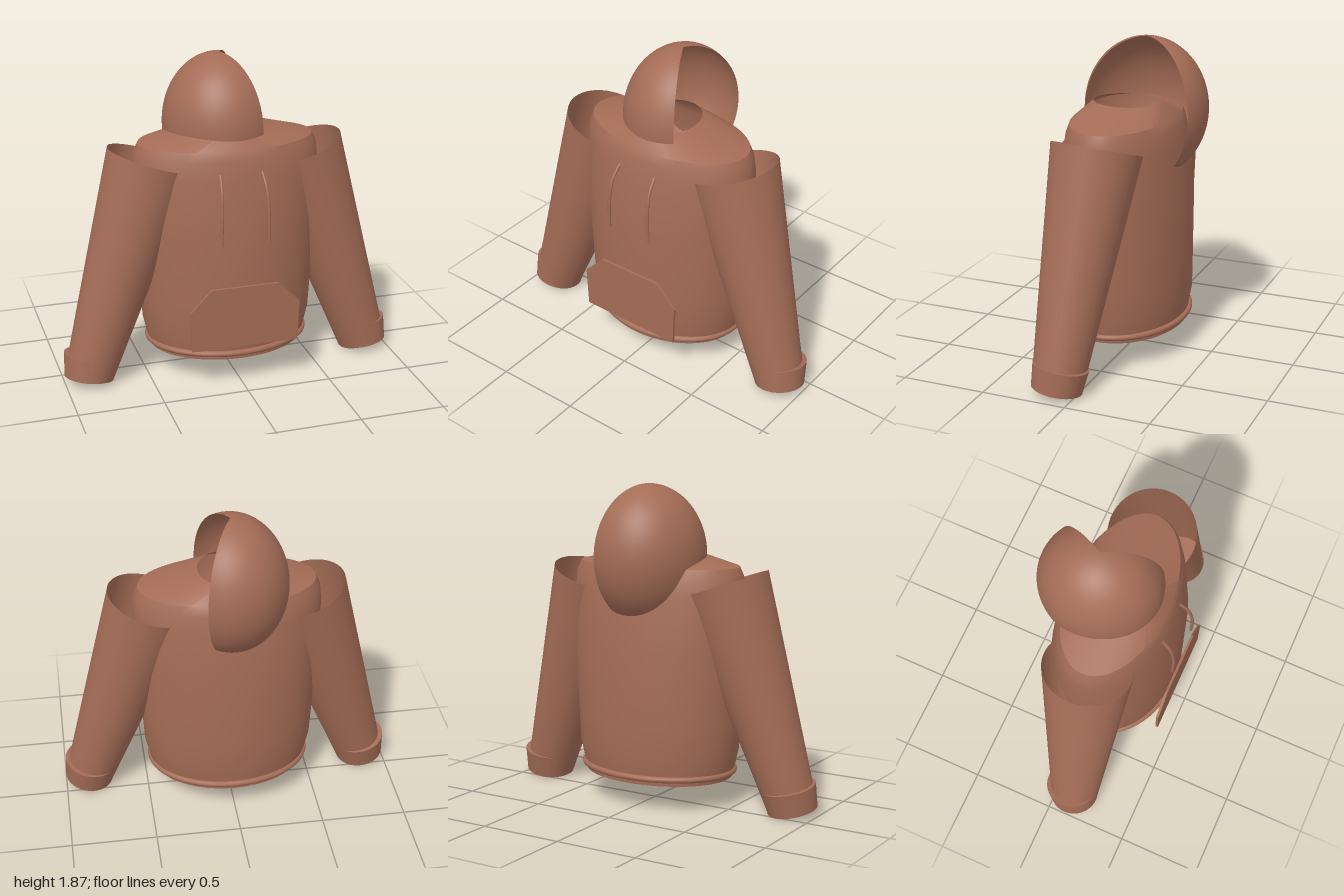
import * as THREE from 'three';
import { mergeVertices, toCreasedNormals } from 'three/addons/utils/BufferGeometryUtils.js';

const V = (x, y, z) => new THREE.Vector3(x, y, z);

// Open shell of oval rings, listed top to bottom as [halfWidth, halfDepth, y]
function ovalShell(rings, segments = 64) {
  let geo = new THREE.CylinderGeometry(1, 1, 1, segments, rings.length - 1, true);
  const pos = geo.attributes.position;
  for (let i = 0; i < pos.count; i++) {
    const [rx, rz, y] = rings[Math.floor(i / (segments + 1))];
    pos.setXYZ(i, pos.getX(i) * rx, y, pos.getZ(i) * rz);
  }
  geo.deleteAttribute('uv');
  geo.deleteAttribute('normal');
  geo = mergeVertices(geo);
  geo.computeVertexNormals();
  return toCreasedNormals(geo, 0.6);
}

// Tapered tube running from point a to point b
function taper(a, b, ra, rb, open) {
  const dir = a.clone().sub(b);
  const geo = new THREE.CylinderGeometry(ra, rb, dir.length(), 48, 1, open);
  geo.applyQuaternion(new THREE.Quaternion().setFromUnitVectors(V(0, 1, 0), dir.normalize()));
  const mid = a.clone().add(b).multiplyScalar(0.5);
  return geo.translate(mid.x, mid.y, mid.z);
}

export function createModel() {
  const group = new THREE.Group();
  const cloth = new THREE.MeshStandardMaterial({ color: 0xa46c56, side: THREE.DoubleSide });
  cloth.name = 'russet cloth';

  const add = (name, geo) => {
    const mesh = new THREE.Mesh(geo, cloth);
    mesh.name = name;
    group.add(mesh);
    return mesh;
  };

  // Torso with sloping shoulders and an open neck
  add('torso', ovalShell([
    [0.17, 0.2, 1.485],
    [0.515, 0.285, 1.405],
    [0.54, 0.305, 1.35],
    [0.55, 0.325, 1.25],
    [0.54, 0.368, 0.92],
    [0.515, 0.37, 0.5],
    [0.505, 0.37, 0.33],
    [0.475, 0.35, 0.2],
  ])).position.z = 0.04;

  // Hem band and its rolled rim
  add('hemBand', ovalShell([[0.47, 0.352, 0.21], [0.46, 0.35, 0.158]])).position.z = 0.04;
  const rim = [];
  for (let i = 0; i <= 12; i++) {
    const a = Math.PI / 2 - (i / 12) * Math.PI * 2;
    rim.push([0.473 + Math.cos(a) * 0.018, 0.357 + Math.cos(a) * 0.018, 0.198 + Math.sin(a) * 0.018]);
  }
  add('hemRim', ovalShell(rim)).position.z = 0.04;

  // Hood: oval shell with a wedge left open
  const hood = add('hood', new THREE.SphereGeometry(1, 64, 40,
    -Math.PI * 2 / 3, Math.PI * 4 / 3, 0, Math.PI * 0.8));
  hood.scale.set(0.333, 0.412, 0.36);
  hood.position.set(0, 1.46, -0.08);

  for (const [side, s] of [['left', 1], ['right', -1]]) {
    // Sleeve, open at the shoulder
    add(side + 'Sleeve', taper(V(s * 0.44, 1.312, 0.04), V(s * 0.853, 0.05, 0.11), 0.26, 0.145, true));
    // Cuff
    add(side + 'Cuff', taper(V(s * 0.836, 0.165, 0.093), V(s * 0.857, 0.028, 0.112), 0.16, 0.145, false));
    // Drawstring
    const path = new THREE.CatmullRomCurve3([
      V(s * 0.122, 1.28, 0.345), V(s * 0.13, 1.2, 0.405),
      V(s * 0.136, 1.08, 0.432), V(s * 0.14, 0.89, 0.433),
    ]);
    add(side + 'Drawstring', new THREE.TubeGeometry(path, 24, 0.009, 10));
  }

  // Front pocket
  const outline = [[-0.317, 0.26], [0.317, 0.26], [0.327, 0.5], [0.2, 0.63], [-0.2, 0.63], [-0.327, 0.5]];
  const pocketShape = new THREE.Shape(outline.map(([x, y]) => new THREE.Vector2(x, y)));
  add('frontPocket', new THREE.ExtrudeGeometry(pocketShape, { depth: 0.015, bevelEnabled: false }))
    .position.z = 0.424;

  return group;
}
